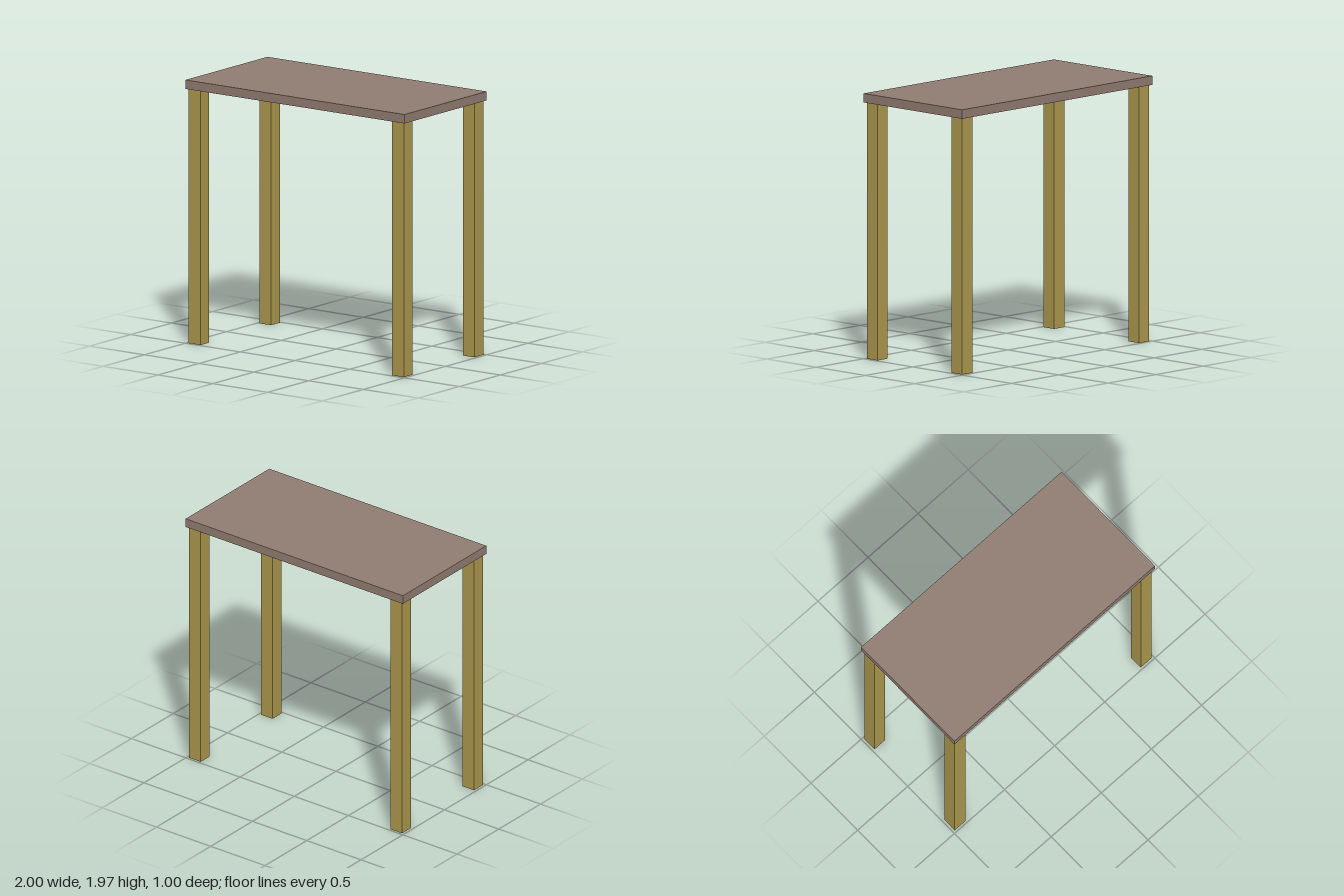
import * as THREE from 'three';

const TOP_Y = 1.9, TOP_THICKNESS = 0.067;
const LEG_WIDTH = 0.107, LEG_X = 0.928, LEG_Z = 0.43;

export function createModel() {
  const table = new THREE.Group();
  table.name = 'table';
  const brown = new THREE.MeshStandardMaterial({ color: 0x917c71 });
  const ochre = new THREE.MeshStandardMaterial({ color: 0xac984e });

  // Flat rectangular slab
  const top = new THREE.Mesh(new THREE.BoxGeometry(2, TOP_THICKNESS, 1), brown);
  top.name = 'tableTop';
  top.position.y = TOP_Y + TOP_THICKNESS / 2;
  table.add(top);

  // Four square legs, set in slightly from the corners
  const legGeometry = new THREE.BoxGeometry(LEG_WIDTH, TOP_Y, LEG_WIDTH);
  for (const [depth, z] of [['front', LEG_Z], ['back', -LEG_Z]]) {
    for (const [side, x] of [['Left', LEG_X], ['Right', -LEG_X]]) {
      const leg = new THREE.Mesh(legGeometry, ochre);
      leg.name = `${depth}${side}Leg`;
      leg.position.set(x, TOP_Y / 2, z);
      table.add(leg);
    }
  }
  return table;
}
